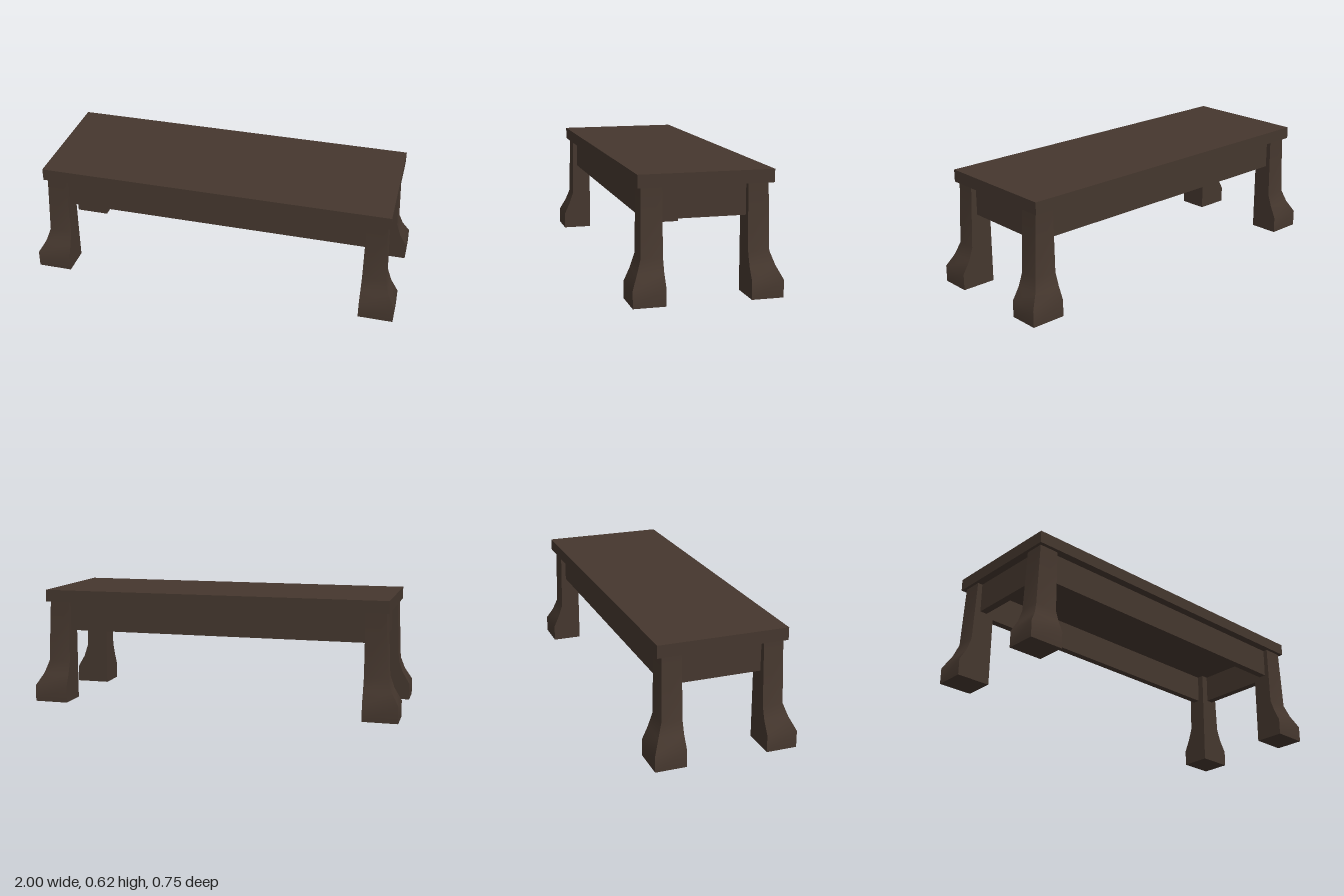
import * as THREE from 'three';
import { toCreasedNormals } from 'three/addons/utils/BufferGeometryUtils.js';

const INNER_X = 0.815, INNER_Z = 0.212;
const APRON_BOTTOM = 0.395, TOP_BOTTOM = 0.555, TOP_HEIGHT = 0.62;

// Outer faces of a leg from floor to top: [y, x, z]
const LEG_PROFILE = [
  [0, 1, 0.374],
  [0.088, 1, 0.374],
  [0.155, 0.96, 0.343],
  [0.222, 0.937, 0.32],
  [TOP_BOTTOM, 0.922, 0.315],
];

// Leg with straight inner faces and flared outer faces, for corner (sx, sz)
function legGeometry(sx, sz) {
  const steps = LEG_PROFILE.length - 1;
  const geometry = new THREE.BoxGeometry(1, 1, 1, 1, steps, 1);
  const p = geometry.attributes.position;
  for (let i = 0; i < p.count; i++) {
    const [y, x, z] = LEG_PROFILE[Math.round((p.getY(i) + 0.5) * steps)];
    const outerX = p.getX(i) * sx > 0, outerZ = p.getZ(i) * sz > 0;
    p.setXYZ(i, sx * (outerX ? x : INNER_X), y, sz * (outerZ ? z : INNER_Z));
  }
  return toCreasedNormals(geometry, 0.6);
}

export function createModel() {
  const model = new THREE.Group();
  model.name = 'lowTable';
  const wood = new THREE.MeshStandardMaterial({ color: 0x45372e });
  wood.name = 'darkWood';

  const add = (name, geometry, x = 0, y = 0, z = 0) => {
    const mesh = new THREE.Mesh(geometry, wood);
    mesh.name = name;
    mesh.position.set(x, y, z);
    model.add(mesh);
  };

  // Table top
  add('tableTop', new THREE.BoxGeometry(1.876, TOP_HEIGHT - TOP_BOTTOM, 0.676),
    0, (TOP_HEIGHT + TOP_BOTTOM) / 2, -0.003);

  // Four legs
  for (const sx of [-1, 1]) for (const sz of [-1, 1]) {
    add(`${sz > 0 ? 'front' : 'back'}${sx > 0 ? 'Left' : 'Right'}Leg`, legGeometry(sx, sz));
  }

  // Aprons between the legs, set back from their outer faces
  const height = TOP_BOTTOM - APRON_BOTTOM, y = (TOP_BOTTOM + APRON_BOTTOM) / 2, thick = 0.04;
  for (const s of [-1, 1]) {
    add(s > 0 ? 'frontApron' : 'backApron',
      new THREE.BoxGeometry(INNER_X * 2, height, thick), 0, y, s * 0.27);
    add(s > 0 ? 'leftApron' : 'rightApron',
      new THREE.BoxGeometry(thick, height, INNER_Z * 2), s * 0.875, y, 0);
  }
  return model;
}
